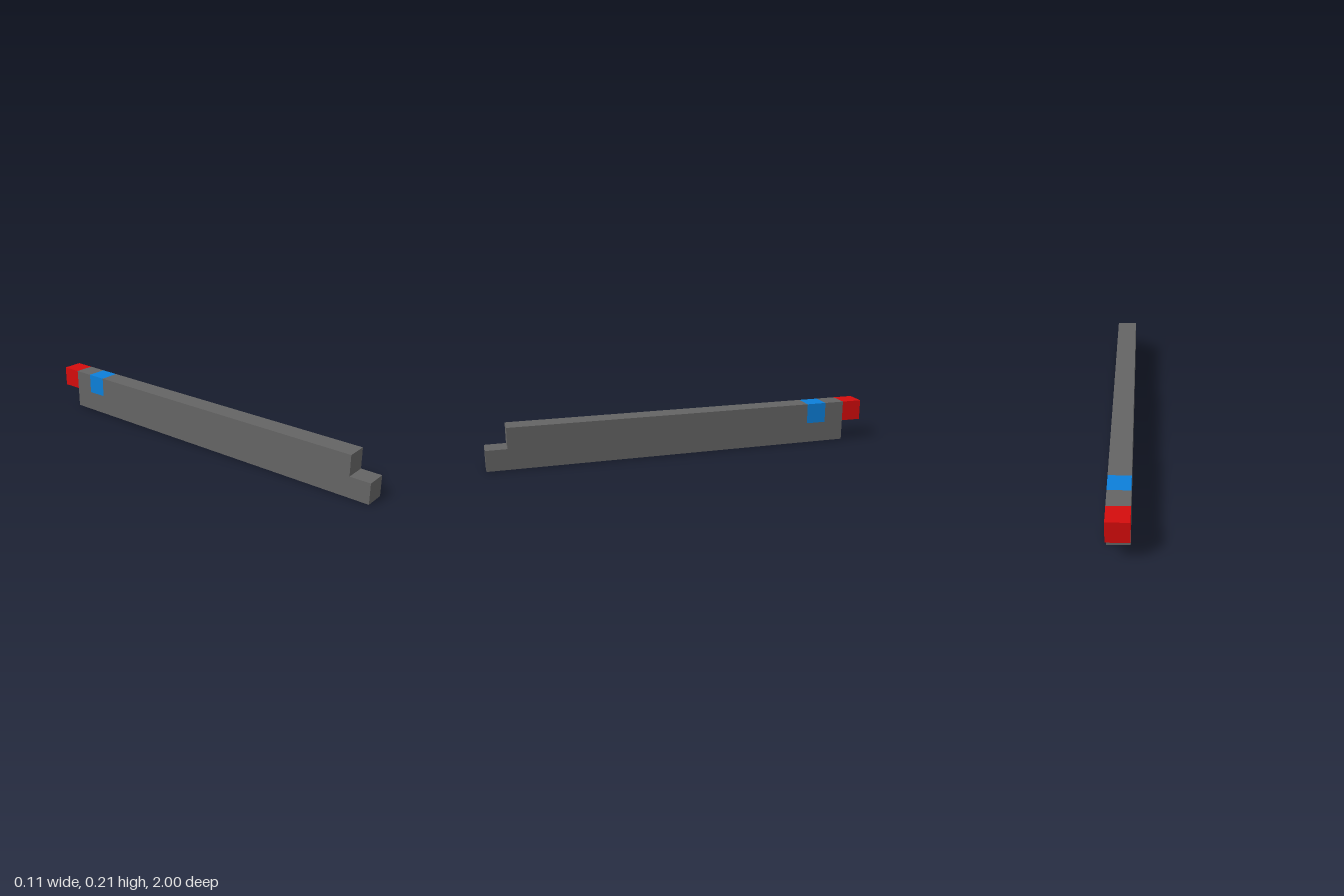
import * as THREE from 'three';

const U = 2 / 19; // one block: the model is 19 blocks long

const grey = new THREE.MeshStandardMaterial({ color: 0x646464 });
grey.name = 'grey';
const blue = new THREE.MeshStandardMaterial({ color: 0x0c7fd9 });
blue.name = 'blue';
const red = new THREE.MeshStandardMaterial({ color: 0xd40c0c });
red.name = 'red';

// Single cube on the upper row, counted in blocks from the back
function block(name, index, material) {
  const mesh = new THREE.Mesh(new THREE.BoxGeometry(U, U, U), material);
  mesh.name = name;
  mesh.position.set(0, 1.5 * U, -1 + (index + 0.5) * U);
  return mesh;
}

export function createModel() {
  const model = new THREE.Group();
  model.name = 'steppedBar';

  // Stepped side profile (z, y) with a notch for the inlaid band
  const profile = [
    [1, 0], [19, 0], [19, 1], [18, 1], [18, 2],
    [3, 2], [3, 1], [2, 1], [2, 2], [1, 2],
  ].map(([z, y]) => new THREE.Vector2(-1 + z * U, y * U));
  const bodyGeometry = new THREE.ExtrudeGeometry(new THREE.Shape(profile), {
    depth: U,
    bevelEnabled: false,
  });
  bodyGeometry.translate(0, 0, -U / 2).rotateY(-Math.PI / 2);
  const body = new THREE.Mesh(bodyGeometry, grey);
  body.name = 'body';

  // Inlaid band and overhanging end block
  model.add(body, block('band', 2, blue), block('rearTip', 0, red));
  return model;
}
